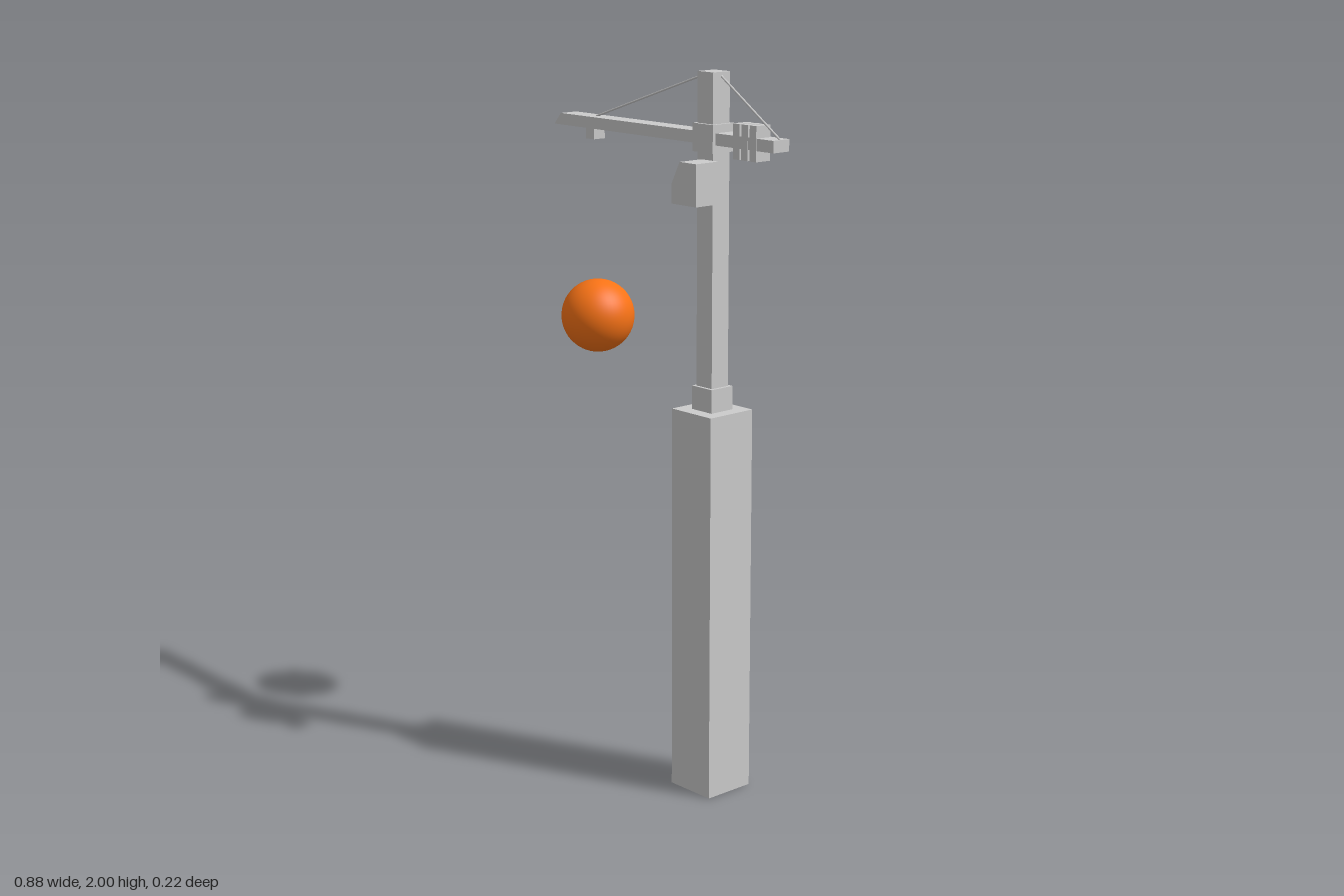
import * as THREE from 'three';

const grey = new THREE.MeshStandardMaterial({ color: 0xcccccc });
const orange = new THREE.MeshStandardMaterial({ color: 0xf97316 });
const MAST_X = 0.184;

export function createModel() {
  const group = new THREE.Group();

  const add = (name, geometry, material = grey) => {
    const mesh = new THREE.Mesh(geometry, material);
    mesh.name = name;
    group.add(mesh);
    return mesh;
  };

  // Box given by its extents on each axis
  const box = (name, [x0, x1], [y0, y1], [z0, z1]) =>
    add(name, new THREE.BoxGeometry(x1 - x0, y1 - y0, z1 - z0))
      .position.set((x0 + x1) / 2, (y0 + y1) / 2, (z0 + z1) / 2);

  // Square block centred on the mast axis
  const block = (name, half, y0, y1) =>
    box(name, [MAST_X - half, MAST_X + half], [y0, y1], [-half, half]);

  // Side outline in x and y, extruded from z0 to z1
  const prism = (name, points, z0, z1) => {
    const shape = new THREE.Shape(points.map(([x, y]) => new THREE.Vector2(x, y)));
    const geometry = new THREE.ExtrudeGeometry(shape, { depth: z1 - z0, bevelEnabled: false });
    add(name, geometry.translate(0, 0, z0));
  };

  // Thin straight stay between two points
  const cable = (name, from, to) => {
    const path = new THREE.LineCurve3(new THREE.Vector3(...from), new THREE.Vector3(...to));
    add(name, new THREE.TubeGeometry(path, 1, 0.003, 6));
  };

  // Tower and mast
  block('towerBase', 0.077, 0, 1.09);
  block('mastCollar', 0.039, 1.09, 1.155);
  block('mast', 0.03, 1.155, 2);
  block('slewingBlock', 0.039, 1.79, 1.865);

  // Jib with its slanted tip
  prism('jib', [[-0.44, 1.811], [0.438, 1.811], [0.438, 1.843], [-0.412, 1.843]], -0.028, 0.029);
  box('trolley', [-0.313, -0.28], [1.78, 1.812], [-0.02, 0.02]);

  // Counterweight slabs
  for (const x of [0.302, 0.333, 0.364]) {
    box('counterweight', [x - 0.012, x + 0.012], [1.782, 1.875], [-0.021, 0.03]);
  }

  // Operator cab with a sloping windscreen
  prism('cab', [[0.139, 1.657], [0.234, 1.657], [0.234, 1.77], [0.17, 1.77], [0.139, 1.71]], 0.029, 0.108);

  // Stays from the mast head
  cable('jibStay', [-0.29, 1.843], [0.175, 1.998]);
  cable('counterStay', [0.2, 1.998], [0.435, 1.841]);

  // Ball hanging free below the trolley
  add('ball', new THREE.SphereGeometry(0.104, 48, 32), orange).position.set(-0.296, 1.277, -0.004);

  return group;
}
